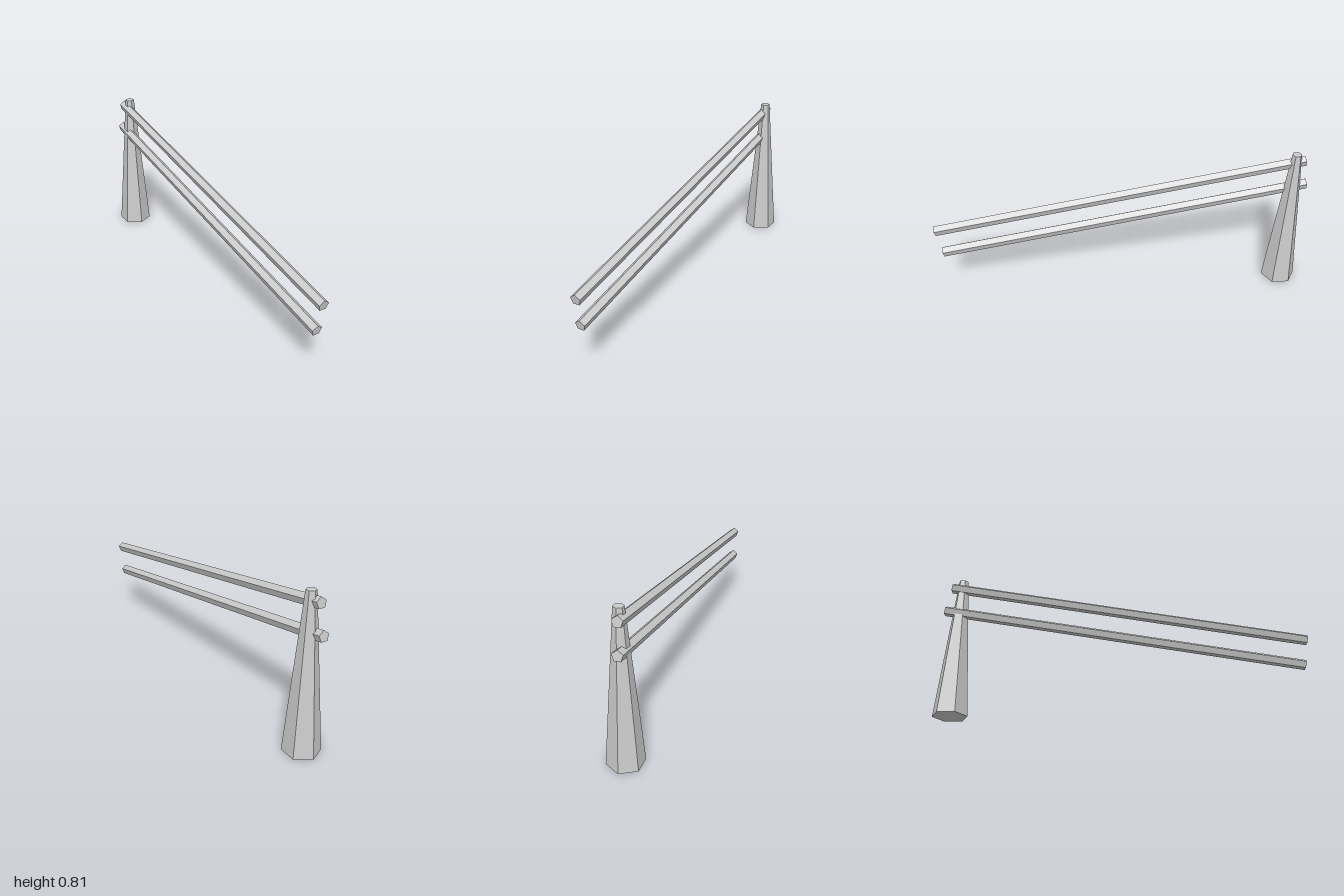
import * as THREE from 'three';

export function createModel() {
  const model = new THREE.Group();
  model.name = 'slopedFence';
  const material = new THREE.MeshStandardMaterial({ color: 0xcccccc, flatShading: true });

  // Tapered six-sided post, a corner facing the front
  const postHeight = 0.806;
  const post = new THREE.Mesh(new THREE.CylinderGeometry(0.0255, 0.0935, postHeight, 6), material);
  post.name = 'post';
  post.position.set(0, postHeight / 2, -0.906);
  model.add(post);

  // Five-sided rail between two end points, ridge on top
  function addRail(name, back, front) {
    const geometry = new THREE.CylinderGeometry(0.0285, 0.0285, back.distanceTo(front), 5);
    geometry.rotateX(-Math.PI / 2);
    const rail = new THREE.Mesh(geometry, material);
    rail.name = name;
    rail.position.copy(back).lerp(front, 0.5);
    rail.lookAt(front);
    model.add(rail);
  }

  addRail('upperRail', new THREE.Vector3(-0.015, 0.759, -0.96), new THREE.Vector3(0.019, 0.42, 0.995));
  addRail('lowerRail', new THREE.Vector3(-0.02, 0.612, -0.985), new THREE.Vector3(0.014, 0.272, 0.971));

  return model;
}
